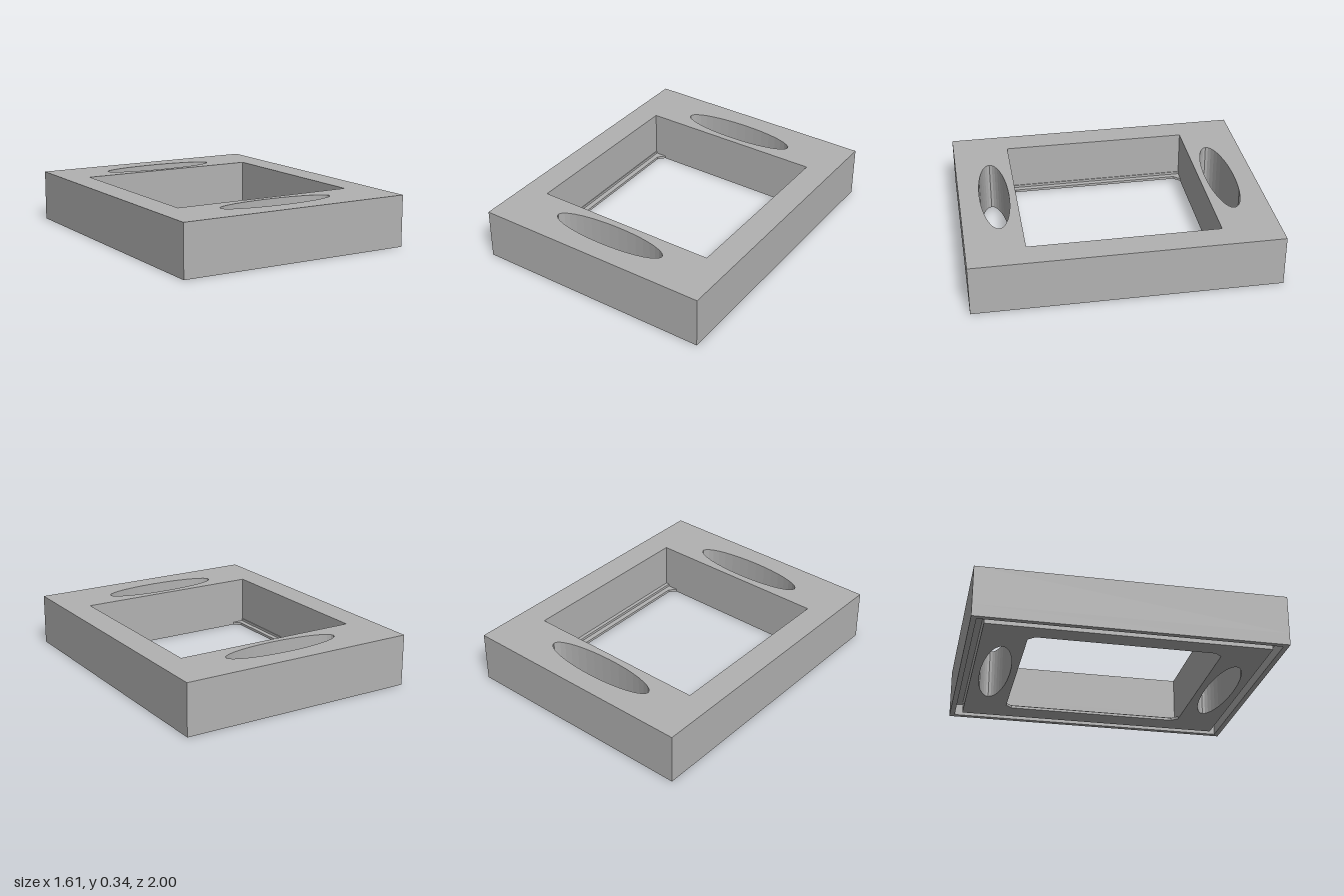
import * as THREE from 'three';

const W = 0.805, D = 1, H = 0.34; // half width, half depth, height
const GROOVE = 0.08;              // depth of the groove under the frame
const SHIFT = -0.0125;            // small sideways offset of the cutouts

export function createModel() {
  const model = new THREE.Group();
  model.name = 'frameBlock';
  const gray = new THREE.MeshStandardMaterial({ color: 0xb2b2b2 });
  gray.name = 'plain gray';

  const outline = (Type, x0, x1, z0, z1) => new Type([
    new THREE.Vector2(x0, z0), new THREE.Vector2(x1, z0),
    new THREE.Vector2(x1, z1), new THREE.Vector2(x0, z1),
  ]);

  const ellipse = (z) => new THREE.Path().absellipse(SHIFT, z, 0.405, 0.098, 0, Math.PI * 2);

  // Stand a plan outline (x, -z) up between two heights
  const slab = (name, shape, y0, y1) => {
    const geometry = new THREE.ExtrudeGeometry(shape, { depth: y1 - y0, bevelEnabled: false, curveSegments: 18 });
    geometry.rotateX(-Math.PI / 2);
    geometry.translate(0, y0, 0);
    const mesh = new THREE.Mesh(geometry, gray);
    mesh.name = name;
    model.add(mesh);
  };

  // Rectangle inset from the outer walls, with the window and two oval holes
  const plan = (inset) => {
    const shape = outline(THREE.Shape, -W + inset, W - inset, -D + inset, D - inset);
    shape.holes.push(outline(THREE.Path, -0.63, 0.625, -0.622, 0.625), ellipse(0.767), ellipse(-0.767));
    return shape;
  };

  slab('body', plan(0), GROOVE, H);
  slab('bottomPlate', plan(0.085), 0, GROOVE);

  // Thin skirt outside the groove
  const rim = outline(THREE.Shape, -W, W, -D, D);
  rim.holes.push(outline(THREE.Path, -W + 0.035, W - 0.035, -D + 0.035, D - 0.035));
  slab('rim', rim, 0, GROOVE);

  // Stepped ledges along both sides of the window, flared at the ends
  for (const [side, wall] of [[-1, -0.63], [1, 0.625]]) {
    const at = (offset) => SHIFT + side * offset;
    const step = outline(THREE.Shape, Math.min(wall, at(0.6125)), Math.max(wall, at(0.6125)), -0.622, 0.625);
    slab('ledgeStep', step, 0, 0.035);
    const ledge = new THREE.Shape([
      new THREE.Vector2(wall, -0.622), new THREE.Vector2(at(0.538), -0.622),
      new THREE.Vector2(at(0.5775), -0.578), new THREE.Vector2(at(0.5775), 0.581),
      new THREE.Vector2(at(0.538), 0.625), new THREE.Vector2(wall, 0.625),
    ]);
    slab('ledge', ledge, 0, 0.018);
  }

  return model;
}
